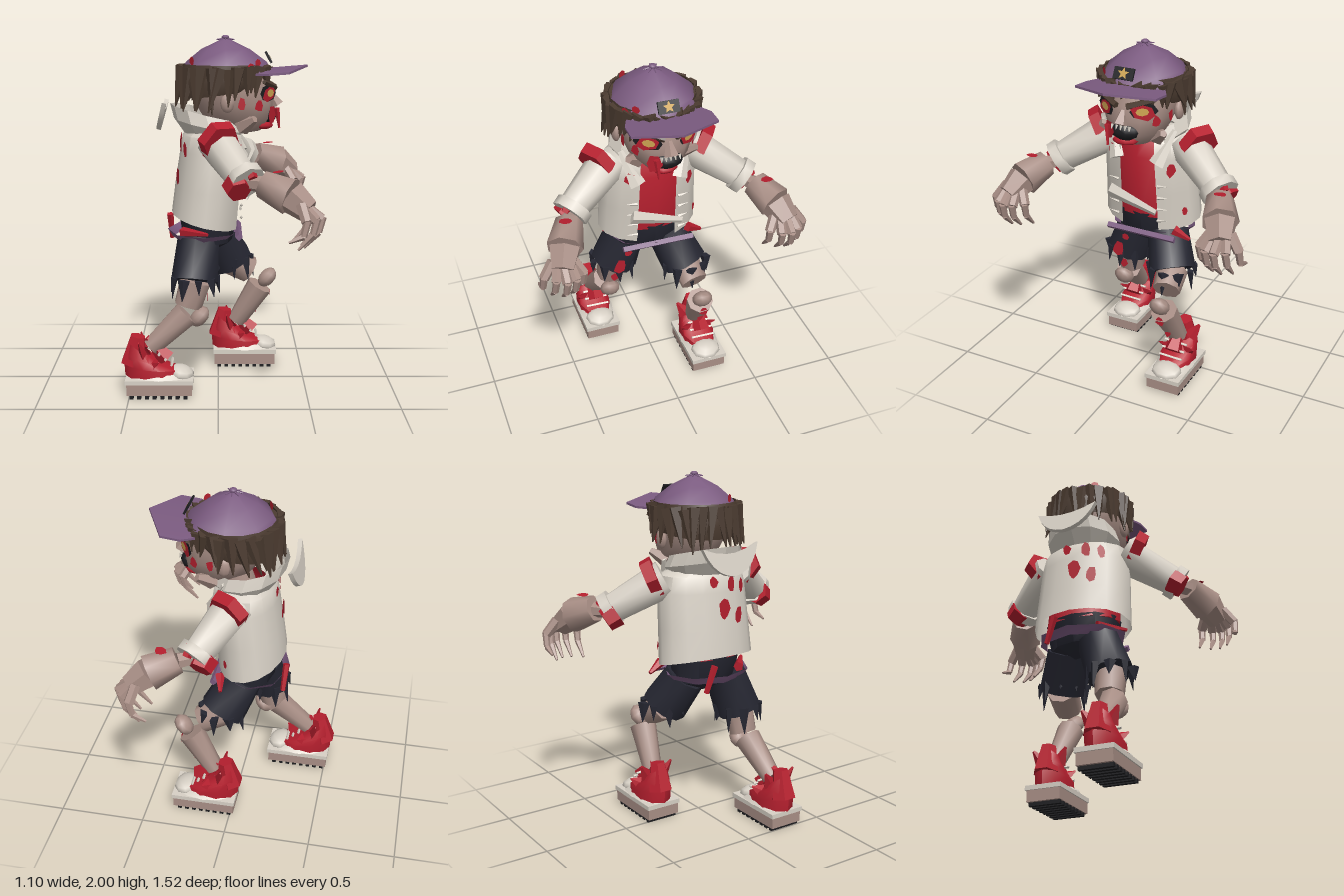
import * as THREE from 'three';
import { toCreasedNormals } from 'three/addons/utils/BufferGeometryUtils.js';

export function createModel() {
  const root = new THREE.Group();
  const paint = (name, color) => new THREE.MeshStandardMaterial({ name, color, side: THREE.DoubleSide });
  const skin = paint('skin', 0xa98f86), white = paint('cloth white', 0xd8d1c6), red = paint('red', 0xb51f2e);
  const purple = paint('purple', 0x7b5b80), brown = paint('hair brown', 0x4b3b30), navy = paint('navy', 0x262732);
  const gold = paint('gold', 0xcfa552), black = paint('black', 0x1d1d20);
  let seed = 7;
  const rnd = () => (seed = (seed * 16807) % 2147483647) / 2147483647;
  const V = (p) => new THREE.Vector3(...p);

  function add(name, geo, mat, crease = 0.9) {
    const mesh = new THREE.Mesh(toCreasedNormals(geo, crease), mat);
    mesh.name = name;
    root.add(mesh);
    return mesh;
  }
  // tapered prism between two points, flat = thickness ratio
  function limb(name, mat, a, b, r1, r2, n = 8, flat = 1) {
    const d = V(b).sub(V(a)), g = new THREE.CylinderGeometry(r2, r1, d.length(), n);
    const mesh = add(name, g, mat);
    mesh.position.copy(V(a)).addScaledVector(d, 0.5);
    mesh.quaternion.setFromUnitVectors(new THREE.Vector3(0, 1, 0), d.normalize());
    mesh.scale.x = flat;
    return mesh;
  }
  function box(name, mat, p, s, rz = 0) {
    const mesh = add(name, new THREE.BoxGeometry(...s), mat);
    mesh.position.set(...p);
    mesh.rotation.z = rz;
    return mesh;
  }
  function ball(name, mat, p, s, rz = 0) {
    const mesh = add(name, new THREE.SphereGeometry(1, 9, 6), mat);
    mesh.position.set(...p);
    mesh.scale.set(...s);
    mesh.rotation.z = rz;
    return mesh;
  }
  // ring: [y, centre x, radius x, radius z, tilt, centre z]
  const onRing = ([y, cx, rx, rz, tilt = 0, cz = 0], a) =>
    [cx + rx * Math.cos(a), y - tilt * Math.cos(a), cz + rz * Math.sin(a)];
  function loft(name, mat, rings, n = 12, gap = 0, crease = 0.9) {
    const pos = [], idx = [];
    for (const r of rings) for (let i = 0; i <= n; i++) pos.push(...onRing(r, gap + (2 * Math.PI - 2 * gap) * i / n));
    for (let j = 0; j < rings.length - 1; j++) for (let i = 0; i < n; i++) {
      const a = j * (n + 1) + i, b = a + n + 1;
      idx.push(a, b, a + 1, a + 1, b, b + 1);
    }
    const g = new THREE.BufferGeometry();
    g.setAttribute('position', new THREE.Float32BufferAttribute(pos, 3));
    g.setIndex(idx);
    return add(name, g, mat, crease);
  }
  // ragged thin spot facing along a normal
  function spot(name, mat, p, normal, w, h, sides = 7, rough = 0.35) {
    const g = new THREE.CircleGeometry(1, sides), q = g.attributes.position;
    for (let i = 1; i <= sides; i++) {
      const k = 1 - rough * rnd();
      q.setXY(i, q.getX(i) * k, q.getY(i) * k);
    }
    q.setXY(sides + 1, q.getX(1), q.getY(1));
    const mesh = add(name, g, mat), n = V(normal).normalize();
    mesh.position.copy(V(p));
    mesh.lookAt(V(p).add(n));
    mesh.position.addScaledVector(n, 0.008);
    mesh.scale.set(w, h, 1);
    return mesh;
  }
  function spotOnLoft(name, mat, rings, a, y, w, h, sides, rough, lift = 0) {
    let j = 0;
    while (j < rings.length - 2 && rings[j + 1][0] < y) j++;
    const t = (y - rings[j][0]) / (rings[j + 1][0] - rings[j][0]);
    const r = [0, 1, 2, 3].map((k) => rings[j][k] + (rings[j + 1][k] - rings[j][k]) * t);
    const p = onRing([r[0], r[1], r[2] + lift, r[3] + lift], a);
    return spot(name, mat, p, [Math.cos(a) / r[2], 0, Math.sin(a) / r[3]], w, h, sides, rough);
  }

  // torso: open jacket over a shirt
  const jacket = [[0.96, -0.075, 0.19, 0.29, 0.045], [1.15, -0.055, 0.19, 0.28, 0.01], [1.36, -0.03, 0.185, 0.27],
    [1.45, -0.03, 0.17, 0.25], [1.5, -0.03, 0.11, 0.14]];
  loft('jacket', white, jacket, 14, 0.4);
  loft('shirt', red, [[0.98, -0.06, 0, 0], [0.98, -0.06, 0.16, 0.22], [1.36, -0.02, 0.165, 0.2], [1.47, -0.02, 0.12, 0.12]], 12);
  loft('waist', navy, [[0.78, -0.06, 0.04, 0.06], [0.84, -0.06, 0.14, 0.19], [1.0, -0.06, 0.165, 0.22]], 10);
  loft('collar', white, [[1.42, -0.03, 0.15, 0.17, 0.02], [1.5, -0.05, 0.2, 0.22, 0.04], [1.57, -0.07, 0.2, 0.2, 0.05]], 10, 0.5, 0.3);
  limb('neck', skin, [0, 1.4, 0], [0.05, 1.55, 0], 0.1, 0.1);
  limb('torn strip', white, [0.16, 1.14, 0.16], [0.17, 1.06, -0.13], 0.045, 0.02, 4, 0.5);
  for (const s of [1, -1]) {
    limb('lapel', white, [0.15, 1.34, s * 0.12], [0.06, 1.52, s * 0.19], 0.045, 0.015, 4, 0.4);
    for (let i = 0; i < 4; i++) limb('zip tooth', white, [0.13, 0.99 + i * 0.07, s * 0.12], [0.13, 1.0 + i * 0.07, s * 0.18], 0.01, 0.001, 4);
  }
  for (const [a, y, w, h] of [[3.3, 1.42, 0.03, 0.04], [2.85, 1.4, 0.035, 0.06], [3.08, 1.27, 0.045, 0.08], [2.72, 1.22, 0.04, 0.06],
    [2.5, 1.38, 0.03, 0.05], [0.62, 1.37, 0.045, 0.045], [-0.75, 1.3, 0.03, 0.05], [-1.0, 1.04, 0.02, 0.03]])
    spotOnLoft('jacket stain', red, jacket, a, y, w, h);
  // curved flap standing off the back of the collar
  const flap = new THREE.Shape();
  flap.moveTo(-0.18, 0.08);
  flap.quadraticCurveTo(0, 0, 0.18, 0.09);
  flap.quadraticCurveTo(0.13, -0.07, 0, -0.08);
  flap.quadraticCurveTo(-0.13, -0.07, -0.18, 0.08);
  const flapMesh = add('collar flap', new THREE.ExtrudeGeometry(flap, { depth: 0.025, bevelEnabled: false, curveSegments: 5 }), white);
  flapMesh.rotation.set(0, -Math.PI / 2, -0.25, 'ZYX');
  flapMesh.position.set(-0.305, 1.545, 0);

  // head and face
  const head = [[1.45, 0.14, 0, 0], [1.47, 0.14, 0.1, 0.09], [1.54, 0.11, 0.19, 0.16], [1.62, 0.09, 0.22, 0.19],
    [1.7, 0.07, 0.23, 0.205], [1.8, 0.05, 0.21, 0.2]];
  loft('head', skin, head, 12);
  limb('nose', skin, [0.29, 1.68, 0], [0.33, 1.61, 0], 0.015, 0.04, 5);
  ball('mouth', black, [0.275, 1.56, 0], [0.055, 0.05, 0.085]);
  ball('lower lip', red, [0.25, 1.5, 0.01], [0.06, 0.025, 0.075]);
  for (let i = -2; i <= 2; i++) limb('tooth', white, [0.318, 1.605, i * 0.025], [0.328, 1.58, i * 0.026], 0.01, 0.002, 4);
  for (const s of [1, -1]) {
    spotOnLoft('eye hollow', black, head, s * 0.55, 1.685, 0.085, 0.052, 8, 0.15);
    spotOnLoft('eye socket', red, head, s * 0.55, 1.68, 0.075, 0.045, 6, 0.15, 0.005).rotateZ(s * 0.3);
    spotOnLoft('eye', gold, head, s * 0.52, 1.685, 0.036, 0.022, 8, 0, 0.011);
    limb('brow', brown, [0.315, 1.71, s * 0.03], [0.25, 1.75, s * 0.17], 0.018, 0.012, 5);
    ball('ear', skin, [0.05, 1.64, s * 0.21], [0.04, 0.055, 0.025]);
    spotOnLoft('cheek wound', red, head, s * 0.95, 1.62, 0.03, 0.04);
    limb('jaw flap', skin, [0.13, 1.5, s * 0.12], [0.2, 1.55, s * 0.19], 0.05, 0.02, 5);
    spotOnLoft('head wound', red, head, s * 1.4, 1.63, 0.025, 0.04);
  }
  spotOnLoft('mouth wound', red, head, 0.45, 1.56, 0.05, 0.06, 6, 0.3, 0.01);
  limb('chin drip', red, [0.325, 1.6, 0.08], [0.34, 1.49, 0.07], 0.016, 0.006, 5);

  // hair: scalp and hanging locks, short over the face
  loft('scalp hair', brown, [[1.68, 0.01, 0.22, 0.225, -0.03], [1.75, 0.02, 0.25, 0.245], [1.84, 0.035, 0.23, 0.23]], 12, 0.75);
  for (let i = 0; i < 30; i++) {
    const a = i / 30 * Math.PI * 2, back = (1 - Math.cos(a)) / 2;
    const len = 0.07 + 0.11 * Math.min(1, back * 1.5) + 0.05 * rnd(), twist = a + (rnd() - 0.5) * 0.35;
    const rise = 1.81 + 0.02 * rnd(), wide = 0.25 + 0.02 * rnd();
    limb('hair lock', brown, onRing([rise, 0.035, 0.23, 0.225], a), onRing([1.8 - len, 0.02, wide, wide], twist), 0.048, 0.004, 5, 0.8);
  }

  // cap with segmented dome, button, upturned brim and badge
  const cap = [[1.795, 0.045, 0.258, 0.245], [1.85, 0.045, 0.225, 0.215], [1.92, 0.04, 0.135, 0.13], [1.975, 0.04, 0.02, 0.02], [1.98, 0.04, 0, 0]];
  loft('cap dome', purple, cap, 8);
  ball('cap button', purple, [0.04, 1.985, 0], [0.022, 0.013, 0.022]);
  for (let i = 0; i < 8; i++) {
    const a = i * Math.PI / 4;
    limb('cap seam stub', purple, [0.04, 1.98, 0], [0.04 + 0.05 * Math.cos(a), 1.972, 0.05 * Math.sin(a)], 0.006, 0.003, 4);
  }
  const brim = new THREE.Shape([[0.2, -0.2], [0.27, -0.24], [0.38, -0.235], [0.5, 0], [0.38, 0.235], [0.27, 0.23], [0.2, 0.2], [0.25, 0]].map((p) => new THREE.Vector2(...p)));
  const brimGeo = new THREE.ExtrudeGeometry(brim, { depth: 0.012, bevelEnabled: false }), bp = brimGeo.attributes.position;
  for (let i = 0; i < bp.count; i++) bp.setZ(i, bp.getZ(i) + 0.08 * Math.abs(bp.getY(i)));
  const brimMesh = add('cap brim', brimGeo, purple, 0.3);
  brimMesh.rotation.set(Math.PI / 2, 0.08, 0);
  brimMesh.position.y = 1.795;
  box('badge', black, [0.28, 1.875, 0], [0.012, 0.065, 0.115], 0.5);
  const star = new THREE.Shape(Array.from({ length: 10 }, (_, i) => new THREE.Vector2(0, i % 2 ? 0.015 : 0.034).rotateAround(new THREE.Vector2(), i * Math.PI / 5)));
  const starMesh = add('badge star', new THREE.ShapeGeometry(star), gold);
  starMesh.position.set(0.288, 1.879, 0);
  starMesh.lookAt(1.166, 2.358, 0);
  for (const [a, y] of [[1.0, 1.83], [2.6, 1.86], [0.75, 1.85]]) spotOnLoft('cap stain', red, cap, a, y, 0.03, 0.03);

  // arms reach forward and out, mirrored
  for (const s of [1, -1]) {
    const P = (x, y, z) => [x, y, z * s];
    limb('sleeve', white, P(-0.01, 1.43, 0.23), P(0.13, 1.27, 0.48), 0.11, 0.085, 8);
    limb('shoulder tear', red, P(-0.01, 1.455, 0.28), P(0.02, 1.43, 0.33), 0.118, 0.11, 6);
    limb('cuff', white, P(0.13, 1.28, 0.47), P(0.155, 1.25, 0.51), 0.105, 0.105, 8);
    limb('cuff tear', red, P(0.09, 1.25, 0.48), P(0.11, 1.21, 0.54), 0.075, 0.065, 6);
    limb('cuff tear', red, P(0.16, 1.33, 0.5), P(0.18, 1.28, 0.54), 0.035, 0.025, 5);
    spot('sleeve stain', red, P(0.14, 1.33, 0.4), P(0.8, 0.6, 0), 0.035, 0.045);
    limb('wrist', skin, P(0.14, 1.25, 0.49), P(0.23, 1.25, 0.54), 0.035, 0.045, 6);
    limb('forearm', skin, P(0.23, 1.255, 0.535), P(0.37, 1.2, 0.6), 0.075, 0.1, 7);
    spot('forearm wound', red, P(0.31, 1.315, 0.57), P(-0.1, 1, 0), 0.045, 0.04);
    limb('palm', skin, P(0.37, 1.2, 0.6), P(0.46, 1.13, 0.64), 0.09, 0.065, 6);
    for (let i = 0; i < 5; i++) {
      const z = 0.53 + i * 0.052, x = 0.43 + 0.06 * Math.sin(i * 0.9), low = 0.94 + (i === 4 ? 0.05 : 0);
      limb('finger base', skin, P(0.42, 1.17, 0.58 + i * 0.025), P(x + 0.04, 1.09, z), 0.03, 0.028, 6);
      limb('finger middle', skin, P(x + 0.045, 1.1, z), P(x + 0.025, 1.02, z + 0.005), 0.021, 0.018, 6);
      limb('fingertip', skin, P(x + 0.025, 1.02, z + 0.005), P(x - 0.05, low, z + 0.01), 0.018, 0.007, 5);
    }
  }

  // belt, wider than the shorts and pointed at the back corners
  loft('belt', purple, [[0.865, -0.08, 0.18, 0.22, -0.01], [0.9, -0.08, 0.21, 0.26, 0]], 8);
  limb('belt front', purple, [0.115, 0.89, 0.2], [0.115, 0.885, -0.22], 0.02, 0.02, 4);
  limb('belt tear', red, [-0.2, 0.91, 0.14], [-0.06, 0.92, 0.26], 0.03, 0.01, 5);
  limb('belt tear', red, [-0.28, 0.97, -0.08], [-0.27, 0.82, -0.13], 0.02, 0.015, 5);
  limb('belt tear', red, [0.08, 0.93, -0.2], [0.06, 0.88, -0.29], 0.03, 0.01, 5);

  // legs in mid stride: hip, hem, thigh end, knee, shin ends, shoe shift, wounds [y, x, z, size]
  const legs = [
    { hip: [-0.11, 0.86, 0.11], hem: [-0.13, 0.64, 0.19], end: [-0.17, 0.5, 0.2], knee: [-0.105, 0.44, 0.22], top: [-0.18, 0.46, 0.225], foot: [-0.38, 0.27, 0.255], dx: 0, z: 0.26,
      wounds: [[0.69, 0.01, 0.19, 0.045], [0.78, 0.015, 0.14, 0.025], [0.55, -0.07, 0.2, 0.03], [0.37, -0.2, 0.23, 0.025]] },
    { hip: [-0.03, 0.86, -0.11], hem: [0.07, 0.67, -0.19], end: [0.19, 0.6, -0.21], knee: [0.295, 0.55, -0.22], top: [0.25, 0.5, -0.225], foot: [0.11, 0.27, -0.25], dx: 0.49, z: -0.26,
      wounds: [[0.46, 0.3, -0.225, 0.03], [0.34, 0.22, -0.24, 0.025]] },
  ];
  for (const L of legs) {
    limb('shorts leg', navy, L.hip, L.hem, 0.12, 0.135, 9);
    for (let i = 0; i < 9; i++) {
      const a = i / 9 * Math.PI * 2, p = onRing([L.hem[1] + 0.03, L.hem[0], 0.12, 0.125, 0, L.hem[2]], a);
      limb('torn hem', navy, p, [p[0] + 0.02 * Math.cos(a), p[1] - 0.06 - 0.1 * rnd(), p[2] + 0.01 * Math.sin(a)], 0.035, 0.002, 4, 0.6);
    }
    limb('thigh', skin, L.hem, L.end, 0.09, 0.08, 8);
    ball('knee', skin, L.knee, [0.068, 0.045, 0.06], 0.85);
    limb('shin', skin, L.top, L.foot, 0.078, 0.055, 8);
    for (const [y, x, z, r] of L.wounds) spot('leg wound', red, [x, y, z], [1, 0, 0], r, r * 1.2);

    // shoe
    const X = L.dx, Z = L.z;
    for (let i = 0; i < 8; i++) box('tread', black, [X - 0.485 + i * 0.043, 0.012, Z], [0.022, 0.024, 0.19]);
    box('midsole', skin, [X - 0.33, 0.053, Z], [0.365, 0.065, 0.2]);
    box('sole plate', white, [X - 0.33, 0.098, Z], [0.38, 0.026, 0.215]);
    loft('sole rim', white, [[0.11, X - 0.33, 0.195, 0.112, 0, Z], [0.135, X - 0.34, 0.15, 0.09, 0, Z]], 12);
    loft('shoe upper', red, [[0.11, X - 0.36, 0.165, 0.1, 0, Z], [0.165, X - 0.37, 0.16, 0.1, 0.015, Z], [0.215, X - 0.42, 0.1, 0.085, 0.03, Z], [0.27, X - 0.44, 0.06, 0.065, 0.04, Z]], 10);
    ball('toe cap', white, [X - 0.21, 0.125, Z], [0.075, 0.04, 0.09], -0.2);
    limb('heel tab', red, [X - 0.48, 0.18, Z], [X - 0.45, 0.34, Z], 0.075, 0.045, 6);
    limb('tongue', red, [X - 0.4, 0.33, Z], [X - 0.29, 0.21, Z], 0.02, 0.055, 5);
    for (const s of [1, -1]) {
      limb('ankle flap', red, [X - 0.42, 0.25, Z + s * 0.05], [X - 0.44, 0.33, Z + s * 0.1], 0.045, 0.008, 4, 0.5);
      limb('side flap', red, [X - 0.36, 0.19, Z + s * 0.06], [X - 0.33, 0.22, Z + s * 0.11], 0.04, 0.005, 4, 0.5);
    }
    for (let i = 0; i < 3; i++) limb('lace', white, [X - 0.26 - i * 0.035, 0.185 + i * 0.03, Z - 0.07], [X - 0.26 - i * 0.035, 0.19 + i * 0.03, Z + 0.07], 0.008, 0.008, 4);
  }
  return root;
}
